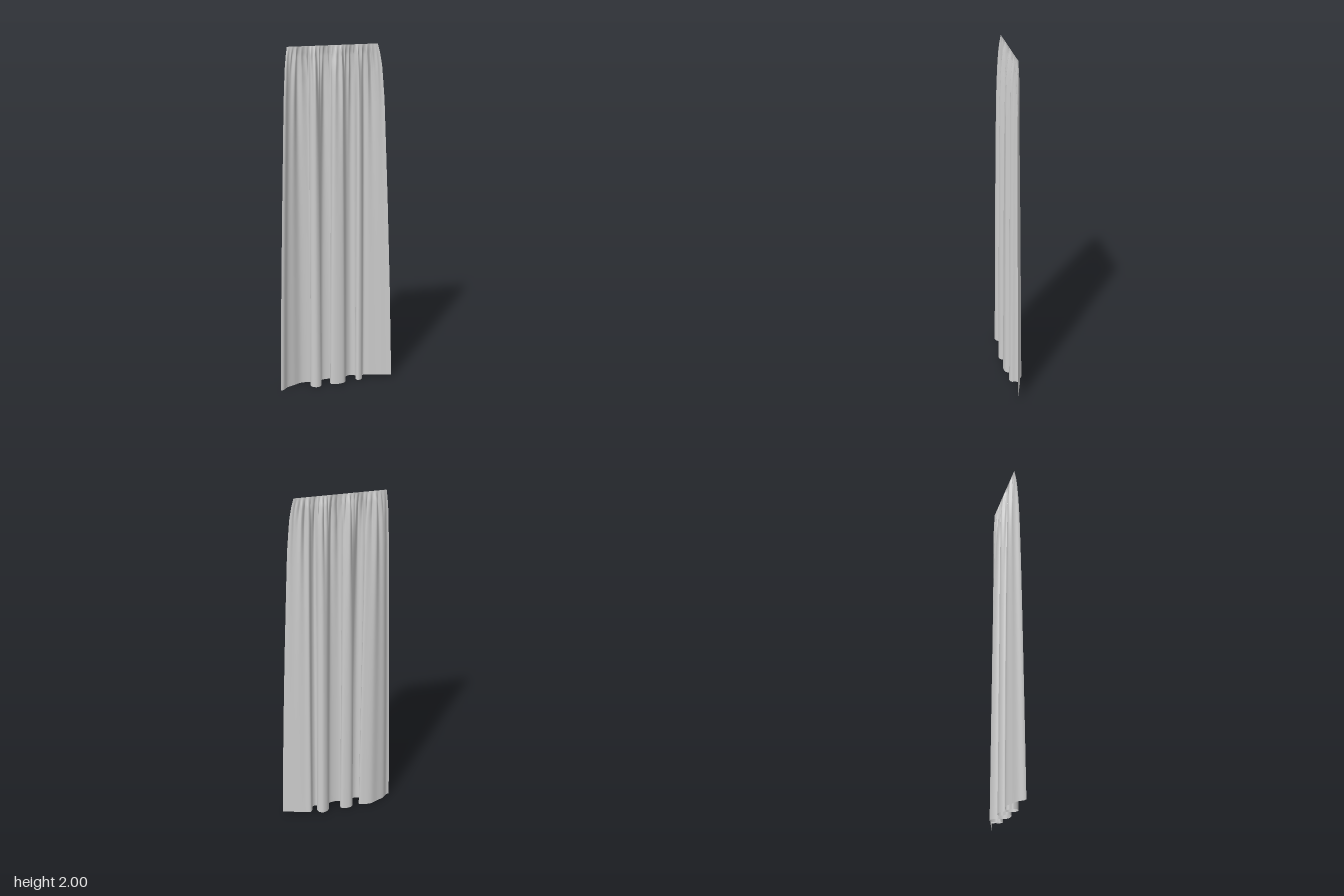
import * as THREE from 'three';

// Hem line of the cloth, [x, z], from the model's right to its left
const HEM = [
  [-0.343, 0.034], [-0.325, 0.03], [-0.295, 0.002], [-0.25, -0.016], [-0.205, -0.034],
  [-0.16, -0.031], [-0.133, -0.021], [-0.137, -0.003], [-0.158, 0.012], [-0.152, 0.036],
  [-0.127, 0.048], [-0.1, 0.037], [-0.091, 0.008], [-0.092, -0.017], [-0.075, -0.037],
  [-0.046, -0.041], [-0.016, -0.032], [-0.015, -0.01], [-0.038, 0.01], [-0.036, 0.031],
  [0, 0.042], [0.042, 0.034], [0.056, 0.012], [0.06, -0.02], [0.078, -0.042],
  [0.105, -0.05], [0.127, -0.036], [0.132, -0.01], [0.118, 0.012], [0.13, 0.029],
  [0.154, 0.02], [0.16, -0.006], [0.176, -0.027], [0.21, -0.018], [0.265, -0.003], [0.34, 0.018],
];

// How far the cloth has spread, by distance below the rod: [drop, amount]
const SPREAD = [[0, 0], [0.05, 0.12], [0.12, 0.23], [0.3, 0.37], [0.55, 0.48], [0.9, 0.63], [1.4, 0.82], [2, 1]];
const DEPTH = [[0, 0], [0.05, 0.22], [0.1, 0.36], [0.2, 0.53], [0.35, 0.66], [0.6, 0.76], [1, 0.84], [2, 1]];

// Linear reading of a table
function read(table, t) {
  let i = 1;
  while (i < table.length - 1 && t > table[i][0]) i++;
  const [a, b] = [table[i - 1], table[i]];
  return THREE.MathUtils.mapLinear(t, a[0], b[0], a[1], b[1]);
}

function clothGeometry(cols, rows) {
  const curve = new THREE.CatmullRomCurve3(HEM.map(([x, z]) => new THREE.Vector3(x, 0, z)));
  const hem = curve.getSpacedPoints(cols);
  const geometry = new THREE.PlaneGeometry(1, 1, cols, rows);
  const position = geometry.attributes.position;

  for (let j = 0; j <= rows; j++) {
    // Rows crowd towards the gathered top
    const drop = 2 * Math.pow(j / rows, 1.8);
    const spread = read(SPREAD, drop);
    const depth = read(DEPTH, drop);
    // Small pleats swell just below the rod and fade into the big folds
    const fine = 0.007 * Math.min(1, drop / 0.05) * Math.exp(-drop / 0.2);
    const medium = 0.009 * Math.min(1, drop / 0.15) * Math.exp(-drop / 0.45);

    for (let i = 0; i <= cols; i++) {
      const u = i / cols;
      const edge = Math.min(1, Math.min(u, 1 - u) * 12);
      const topX = THREE.MathUtils.lerp(-0.27, 0.235, u);
      const phase = u * 2 * Math.PI;
      const pleat = fine * Math.sin(phase * 21 + Math.sin(phase * 3)) +
        medium * Math.sin(phase * 12 + 1.5 * Math.sin(phase * 2));
      const sway = 0.5 * fine * Math.cos(phase * 21);
      position.setXYZ(
        j * (cols + 1) + i,
        THREE.MathUtils.lerp(topX, hem[i].x, spread) + sway * edge,
        2 - drop * (1 - 0.005 * u * u),
        hem[i].z * depth + pleat * edge,
      );
    }
  }
  geometry.computeVertexNormals();
  return geometry;
}

export function createModel() {
  const fabric = new THREE.MeshStandardMaterial({ color: 0xcccccc, side: THREE.DoubleSide });
  fabric.name = 'light grey fabric';

  const curtain = new THREE.Mesh(clothGeometry(320, 64), fabric);
  curtain.name = 'curtainPanel';

  const model = new THREE.Group();
  model.name = 'curtain';
  model.add(curtain);
  return model;
}
